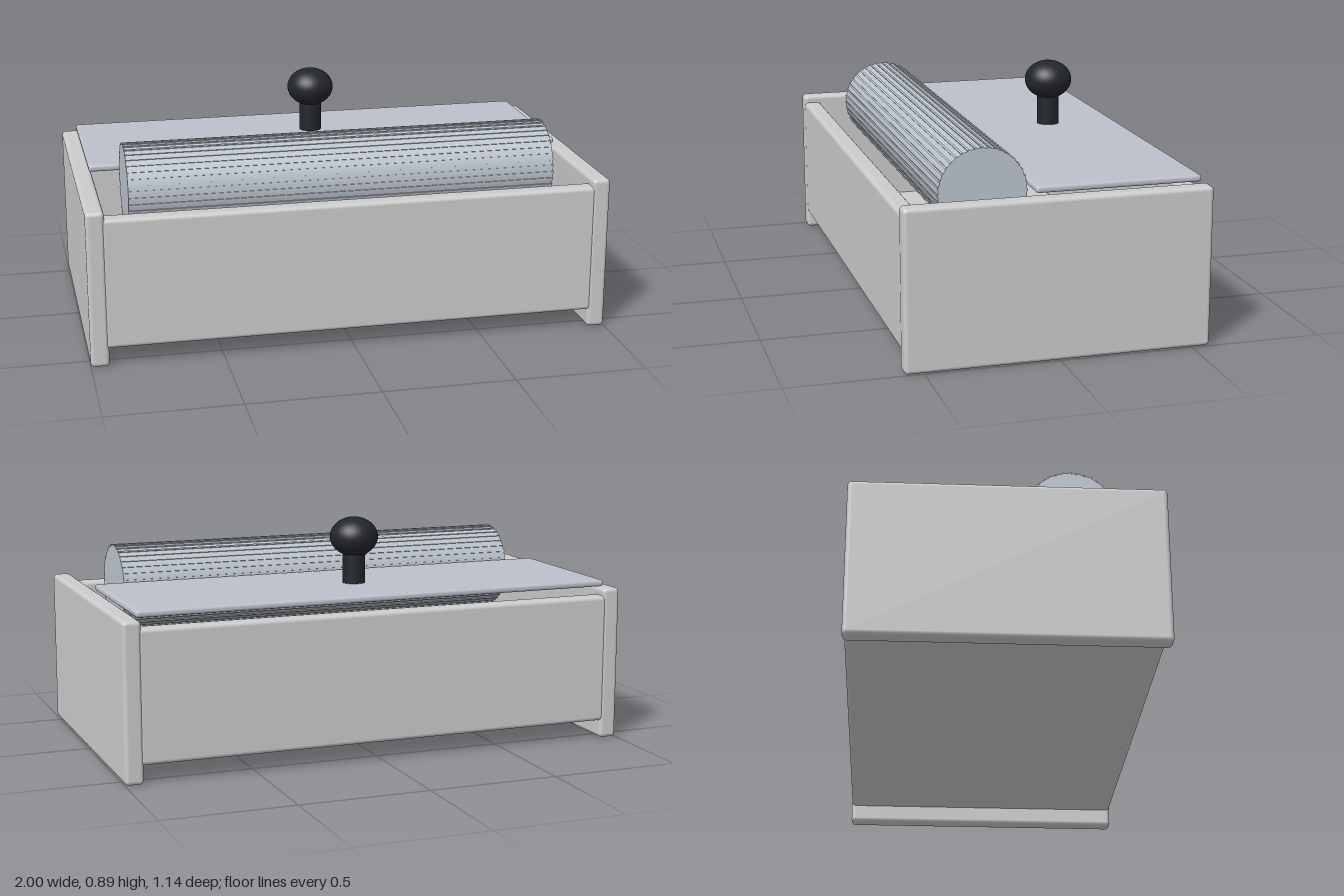
import * as THREE from 'three';
import { RoundedBoxGeometry } from 'three/addons/geometries/RoundedBoxGeometry.js';

const grey = new THREE.MeshStandardMaterial({ color: 0xcccccc });
const lidMat = new THREE.MeshStandardMaterial({ color: 0xbcc0ca });
const rollerMat = new THREE.MeshStandardMaterial({ color: 0xbcc4cc });
const black = new THREE.MeshStandardMaterial({ color: 0x22252b });

export function createModel() {
  const model = new THREE.Group();
  model.name = 'rollerBox';

  const add = (name, geometry, material, x, y, z, parent = model) => {
    const mesh = new THREE.Mesh(geometry, material);
    mesh.name = name;
    mesh.position.set(x, y, z);
    parent.add(mesh);
    return mesh;
  };
  const slab = (w, h, d, r) => new RoundedBoxGeometry(w, h, d, 4, r);

  // Side walls reach the ground and carry the box
  for (const [name, s] of [['leftWall', 1], ['rightWall', -1]]) {
    add(name, slab(0.07, 0.6, 1.14, 0.016), grey, s * 0.965, 0.3, 0);
  }

  // Front and back walls, set between the sides
  for (const [name, s] of [['frontWall', 1], ['backWall', -1]]) {
    add(name, slab(1.89, 0.5, 0.07, 0.016), grey, 0, 0.32, s * 0.533);
  }

  // Floor
  add('floor', slab(1.89, 0.06, 1.1, 0.012), grey, 0, 0.1, 0);

  // Roller with fine ribs along its length
  const roller = new THREE.Group();
  roller.name = 'roller';
  roller.position.set(0, 0.59, 0.24);
  model.add(roller);
  const R = 0.164, ribs = 40;
  add('rollerBody', new THREE.CylinderGeometry(R, R, 1.65, 64), rollerMat, 0, 0, 0, roller)
    .rotation.z = Math.PI / 2;
  const ribGeometry = new THREE.BoxGeometry(1.652, 0.008, 0.006);
  for (let i = 0; i < ribs; i++) {
    const a = (i / ribs) * Math.PI * 2;
    add('rollerRib', ribGeometry, rollerMat, 0, R * Math.sin(a), R * Math.cos(a), roller)
      .rotation.x = -a;
  }

  // Lid plate over the rear part
  add('lid', slab(1.885, 0.026, 0.62, 0.011), lidMat, 0, 0.618, -0.233);

  // Knob: stem and flattened ball
  add('knobStem', new THREE.CylinderGeometry(0.044, 0.044, 0.13, 32), black, 0, 0.7, -0.262);
  add('knobBall', new THREE.SphereGeometry(0.093, 32, 24), black, 0, 0.814, -0.262)
    .scale.y = 0.82;

  return model;
}
